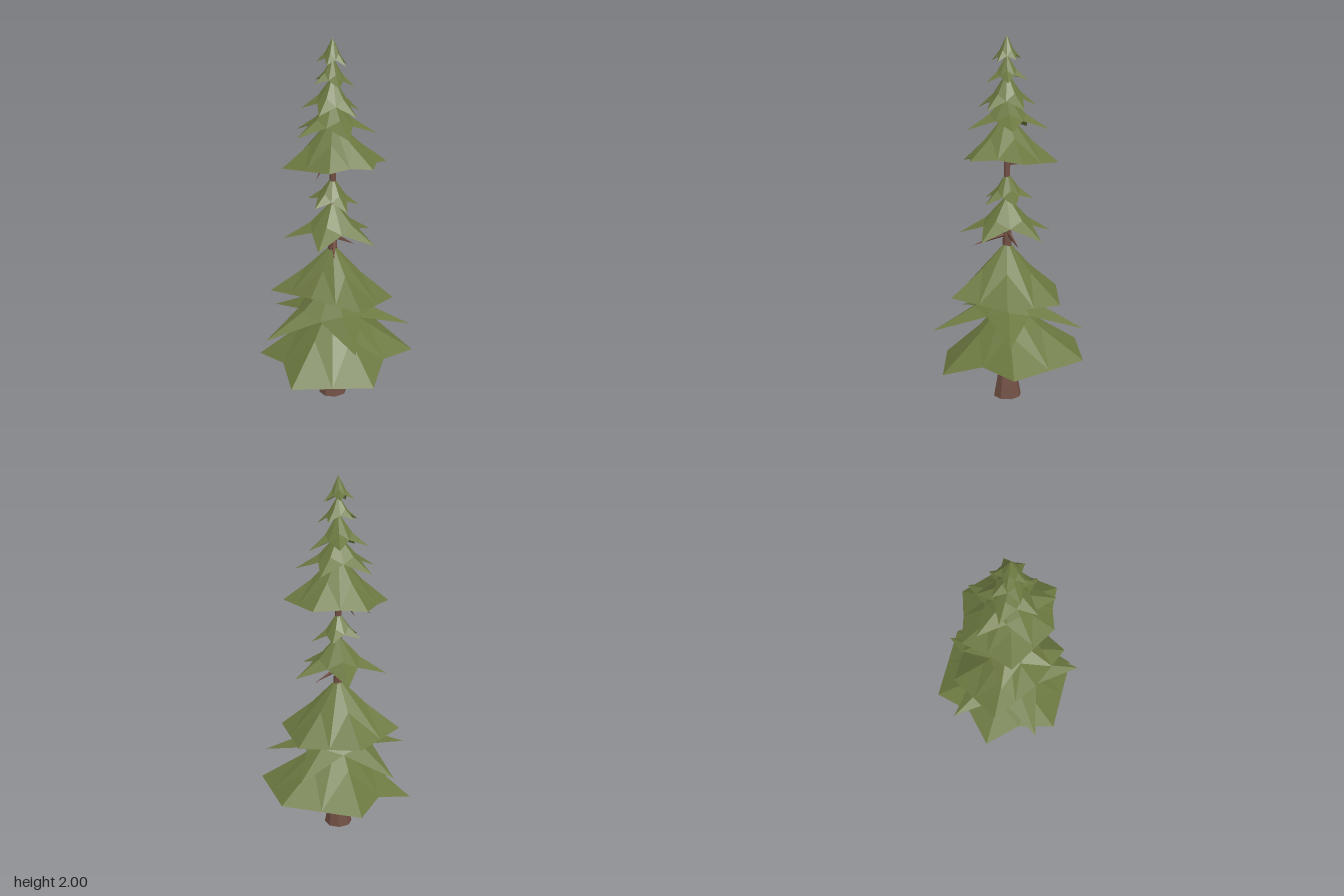
import * as THREE from 'three';

const CX = 0.027, CZ = 0.03; // trunk axis

export function createModel() {
  const tree = new THREE.Group();
  tree.name = 'pineTree';

  const needles = new THREE.MeshStandardMaterial({ color: 0x6b7840, flatShading: true, side: THREE.DoubleSide });
  needles.name = 'needleGreen';
  const bark = new THREE.MeshStandardMaterial({ color: 0x704f43, flatShading: true });
  bark.name = 'barkBrown';

  const add = (name, geometry, material) => {
    const mesh = new THREE.Mesh(geometry, material);
    mesh.name = name;
    tree.add(mesh);
    return mesh;
  };

  // Open, faceted skirt of foliage: apex, shoulder on each ridge, tips and notches.
  // Tips run from +x towards +z; each is [x, y, z, notch], where notch is how far
  // out the middle of the following edge reaches (1 = straight edge).
  function tier(name, apexY, tips, drop) {
    const apex = new THREE.Vector3(CX, apexY, CZ);
    const rim = tips.map(([x, y, z]) => new THREE.Vector3(x, y, z));
    const shoulders = rim.map(p => {
      const s = apex.clone().lerp(p, 0.45);
      s.y -= drop * (apexY - p.y);
      return s;
    });
    const notches = rim.map((p, i) => {
      const notch = tips[i][3];
      const v = p.clone().lerp(rim[(i + 1) % rim.length], 0.5);
      v.x = CX + (v.x - CX) * notch;
      v.z = CZ + (v.z - CZ) * notch;
      v.y += (apexY - v.y) * (1 - notch) * 0.7;
      return v;
    });
    const points = [];
    rim.forEach((tip, i) => {
      const j = (i + 1) % rim.length;
      points.push(
        apex, notches[i], shoulders[i],
        shoulders[i], notches[i], tip,
        apex, shoulders[j], notches[i],
        notches[i], shoulders[j], rim[j]);
    });
    const geometry = new THREE.BufferGeometry().setFromPoints(points);
    geometry.computeVertexNormals();
    add(name, geometry, needles);
  }

  // Five drooping, flat points, evenly spaced; tilt lowers the +x side
  function star(name, apexY, tipY, radius, phase, notch, tilt = 0) {
    const tips = [];
    for (let i = 0; i < 5; i++) {
      const a = THREE.MathUtils.degToRad(phase + i * 72);
      const dx = radius * Math.cos(a);
      tips.push([CX + dx, tipY - tilt * dx, CZ + radius * Math.sin(a), notch]);
    }
    tier(name, apexY, tips, 0.13);
  }

  // Broad tilted tiers
  const skirtNotches = [1, 0.86, 0.84, 1, 1, 0.84];
  const skirt = skirtNotches.map((notch, i) => {
    const a = Math.PI / 6 + i * Math.PI / 3;
    const z = 0.434 * Math.sin(a);
    return [CX + 0.438 * Math.cos(a), 0.238 - 0.11 * z, z, notch];
  });
  tier('bottomFoliage', 0.58, skirt, 0.05);
  tier('lowerFoliage', 0.9, [
    [0.32, 0.62, 0.21, 1], [0.03, 0.65, 0.25, 1], [-0.27, 0.62, 0.21, 1],
    [-0.27, 0.595, -0.13, 1], [0.03, 0.575, -0.295, 1], [0.32, 0.595, -0.13, 1],
  ], 0.06);
  tier('upperFoliage', 1.6, [
    [0.31, 1.36, 0.09, 0.93], [0.14, 1.345, 0.235, 1], [-0.16, 1.335, 0.23, 0.97],
    [-0.24, 1.335, -0.045, 0.97], [-0.04, 1.34, -0.245, 1], [0.235, 1.35, -0.18, 0.93],
  ], 0.08);

  // Spiky star tiers
  star('spikyFoliage1', 0.7, 0.43, 0.43, 41, 0.56);
  star('spikyFoliage2', 1.15, 0.935, 0.268, 1, 0.65);
  star('spikyFoliage3', 1.28, 1.125, 0.145, 25, 0.7, 0.12);
  star('spikyFoliage4', 1.7, 1.51, 0.232, 36, 0.65);
  star('spikyFoliage5', 1.81, 1.625, 0.165, 10, 0.68, 0.1);
  star('spikyFoliage6', 1.9, 1.765, 0.115, 40, 0.7, 0.13);
  star('topFoliage', 2.0, 1.87, 0.085, 5, 0.72, 0.12);

  // Faceted trunk, flared at the foot
  const profile = [[0, 0], [0.079, 0], [0.044, 0.19], [0.036, 0.5], [0.025, 0.9], [0.015, 1.4], [0, 1.8]];
  const trunk = add('trunk', new THREE.LatheGeometry(profile.map(p => new THREE.Vector2(...p)), 8), bark);
  trunk.position.set(CX, 0, CZ);

  // Bare branches: thin three-sided spikes
  function branch(name, from, to, radius) {
    const a = new THREE.Vector3(...from), b = new THREE.Vector3(...to);
    const dir = b.clone().sub(a);
    const mesh = add(name, new THREE.ConeGeometry(radius, dir.length(), 3), bark);
    mesh.position.copy(a).lerp(b, 0.5);
    mesh.quaternion.setFromUnitVectors(new THREE.Vector3(0, 1, 0), dir.normalize());
  }
  branch('bareBranchUpper', [CX, 1.33, CZ], [-0.175, 1.295, 0.07], 0.018);
  branch('bareTwig', [-0.03, 1.32, 0.045], [-0.052, 1.255, 0.075], 0.01);
  branch('bareBranchFront', [CX, 0.94, CZ], [0.14, 0.875, 0.19], 0.02);
  branch('bareBranchBack', [CX, 0.95, CZ], [0.1, 0.88, -0.08], 0.018);

  return tree;
}
